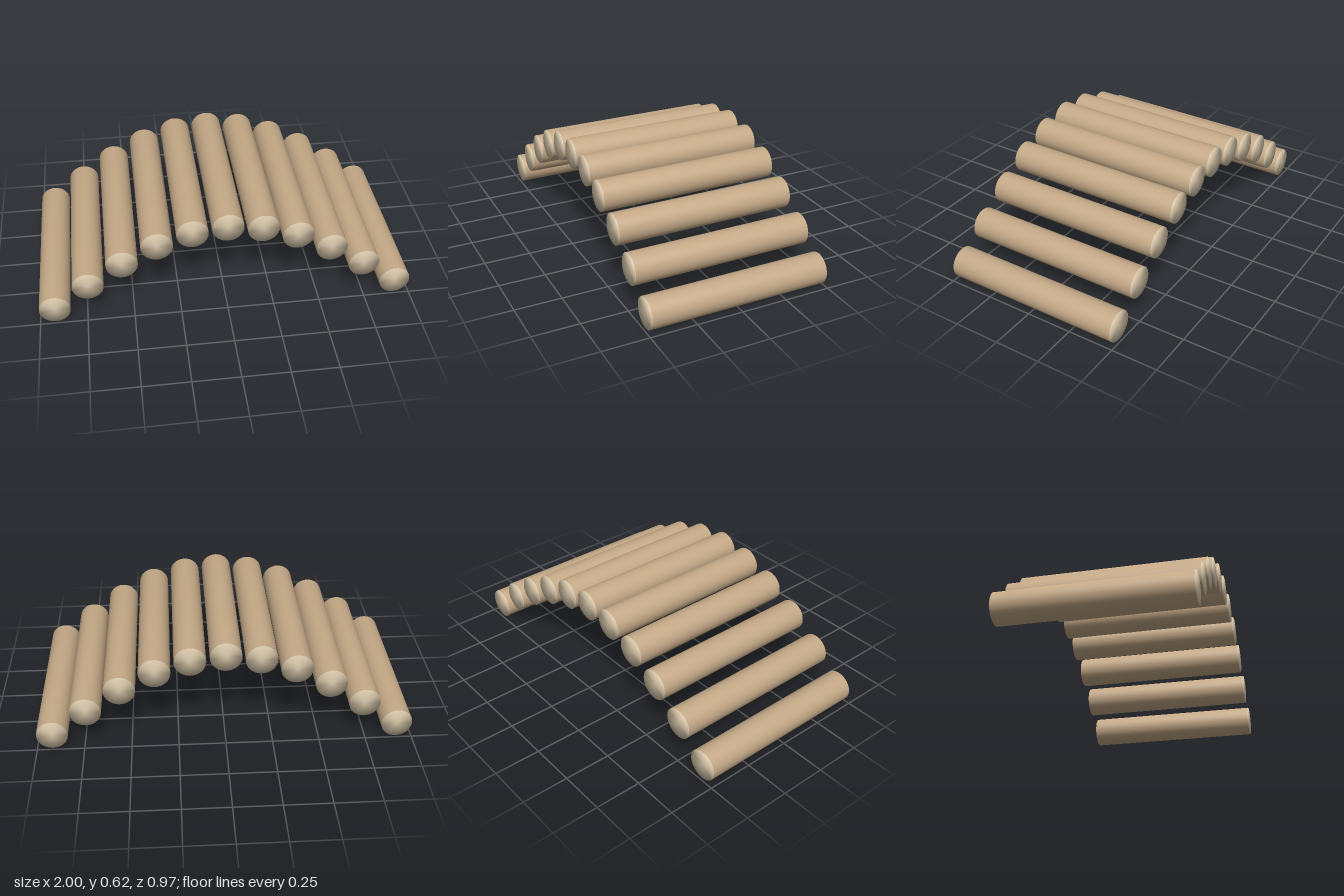
import * as THREE from 'three';
import { mergeVertices } from 'three/addons/utils/BufferGeometryUtils.js';

const RADIUS = 0.083;
const LENGTH = 0.974;
const SPACING = 0.1834;
// axis heights from the middle log outwards
const HEIGHTS = [0.54, 0.517, 0.454, 0.353, 0.225, 0.083];

// log lying along z, with normals blended softly over the end rims
function logGeometry() {
  const geo = new THREE.CylinderGeometry(RADIUS, RADIUS, LENGTH, 32);
  geo.rotateX(Math.PI / 2);
  geo.deleteAttribute('uv');
  geo.deleteAttribute('normal');
  const merged = mergeVertices(geo);
  merged.computeVertexNormals();
  return merged;
}

export function createModel() {
  const model = new THREE.Group();
  model.name = 'logArch';
  const wood = new THREE.MeshStandardMaterial({ color: 0xc4a987 });
  wood.name = 'wood';
  const cutWood = new THREE.MeshStandardMaterial({ color: 0xdccbae });
  cutWood.name = 'cutWood';

  // eleven parallel logs following an arch
  const geo = logGeometry();
  for (let i = -5; i <= 5; i++) {
    const log = new THREE.Mesh(geo, [wood, cutWood, cutWood]);
    log.name = `log${i + 6}`;
    log.position.set(i * SPACING, HEIGHTS[Math.abs(i)], 0);
    model.add(log);
  }
  return model;
}
